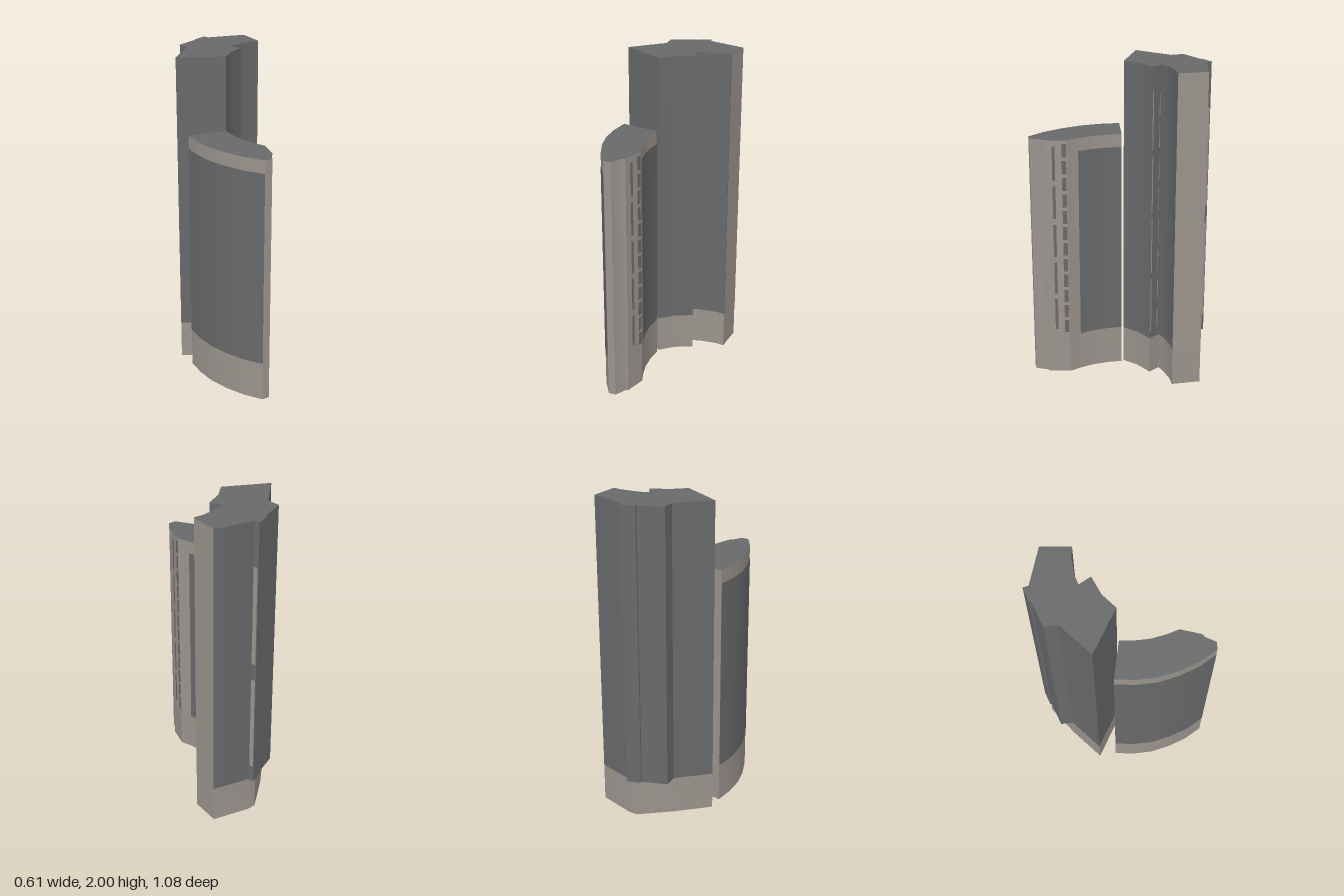
import * as THREE from 'three';
import { toCreasedNormals } from 'three/addons/utils/BufferGeometryUtils.js';

const dark = new THREE.MeshStandardMaterial({ color: 0x68696b });
dark.name = 'dark glass grey';
const light = new THREE.MeshStandardMaterial({ color: 0x9b948e });
light.name = 'warm stone grey';

// Footprints as [x, z], clockwise seen from above
const tallPlan = [
  [0.055, -0.513], [0.288, -0.486], [0.305, -0.308], [0.245, -0.305], [0.138, -0.276],
  [0.086, -0.25], [0.138, -0.187], [0.04, -0.121], [-0.029, -0.035], [-0.305, -0.135],
  [-0.155, -0.331], [0.0, -0.505],
];
const corePlan = [
  [0.04, -0.544], [0.055, -0.513], [0.0, -0.44], [-0.155, -0.331], [-0.173, -0.409],
  [-0.035, -0.489], [-0.037, -0.5],
];
const shortInner = [
  [-0.037, -0.023], [-0.029, 0.066], [-0.009, 0.158], [0.026, 0.245], [0.063, 0.314],
];
const shortNose = [[0.046, 0.446], [0.029, 0.463], [0.006, 0.532]];
const shortOuter = [
  [-0.04, 0.538], [-0.121, 0.446], [-0.19, 0.331], [-0.239, 0.216], [-0.265, 0.095], [-0.273, -0.029],
];
const shortPlan = [...shortInner, ...shortNose, ...shortOuter];

// Upright block over a footprint, smooth across shallow corners
function block(name, plan, y0, y1, sides, caps = sides) {
  const shape = new THREE.Shape(plan.map(([x, z]) => new THREE.Vector2(x, -z)));
  let geo = new THREE.ExtrudeGeometry(shape, { depth: y1 - y0, bevelEnabled: false });
  geo.rotateX(-Math.PI / 2).translate(0, y0, 0);
  geo = toCreasedNormals(geo, 0.6);
  const mesh = new THREE.Mesh(geo, [caps, sides]);
  mesh.name = name;
  return mesh;
}

// Thin facade skin following a run of wall points, lifted slightly outward
function skin(name, run, y0, y1, material, lift = 0.002) {
  const pos = [], nor = [], idx = [];
  run.forEach(([x, z], i) => {
    const a = run[Math.max(i - 1, 0)], b = run[Math.min(i + 1, run.length - 1)];
    const len = Math.hypot(b[0] - a[0], b[1] - a[1]);
    const nx = (b[1] - a[1]) / len, nz = (a[0] - b[0]) / len;
    for (const y of [y0, y1]) {
      pos.push(x + nx * lift, y, z + nz * lift);
      nor.push(nx, 0, nz);
    }
    if (i) {
      const k = 2 * i - 2;
      idx.push(k, k + 1, k + 2, k + 2, k + 1, k + 3);
    }
  });
  const geo = new THREE.BufferGeometry();
  geo.setAttribute('position', new THREE.Float32BufferAttribute(pos, 3));
  geo.setAttribute('normal', new THREE.Float32BufferAttribute(nor, 3));
  geo.setIndex(idx);
  const mesh = new THREE.Mesh(geo, material);
  mesh.name = name;
  return mesh;
}

// Column of short dashes up a wall
function dashes(name, run, y0, y1, count, fill, material) {
  const group = new THREE.Group();
  group.name = name;
  const step = (y1 - y0) / count;
  for (let i = 0; i < count; i++) {
    const y = y0 + i * step;
    group.add(skin(name + 'Dash', run, y, y + step * fill, material));
  }
  return group;
}

export function createModel() {
  const model = new THREE.Group();
  model.name = 'twinTowers';

  // Tall tower: stone base, glazed shaft, stone end wall
  const tall = new THREE.Group();
  tall.name = 'tallTower';
  tall.add(
    block('tallBase', tallPlan, 0.01, 0.25, light),
    block('tallShaft', tallPlan, 0.25, 2, dark),
    block('serviceCore', corePlan, 0.25, 2, dark),
    skin('endWall', [tallPlan[1], tallPlan[2]], 0.25, 2, light),
    dashes('coreTrim', [[0.042, -0.54], [0.053, -0.517]], 0.36, 1.84, 2, 0.85, light),
    dashes('wingTrim', [[0.132, -0.194], [0.138, -0.187]], 0.3, 1.9, 4, 0.9, light),
    dashes('wingCornerTrim', [[0.097, -0.237], [0.101, -0.232]], 0.3, 1.9, 8, 0.7, light),
  );

  // Short tower: stone block with glazed curved sides
  const short = new THREE.Group();
  short.name = 'shortTower';
  short.add(
    block('shortBase', shortPlan, 0, 0.25, light),
    block('shortShaft', shortPlan, 0.25, 1.55, light, dark),
    skin('innerGlazing', shortInner.slice(0, 4), 0.25, 1.47, dark),
    skin('outerGlazing', shortOuter, 0.25, 1.47, dark),
    dashes('noseWindows', [[0.063, 0.318], [0.0595, 0.345]], 0.28, 1.55, 12, 0.8, dark),
    dashes('noseSlits', [[0.054, 0.385], [0.0515, 0.403]], 0.3, 1.55, 5, 0.85, dark),
  );

  model.add(tall, short);
  return model;
}
